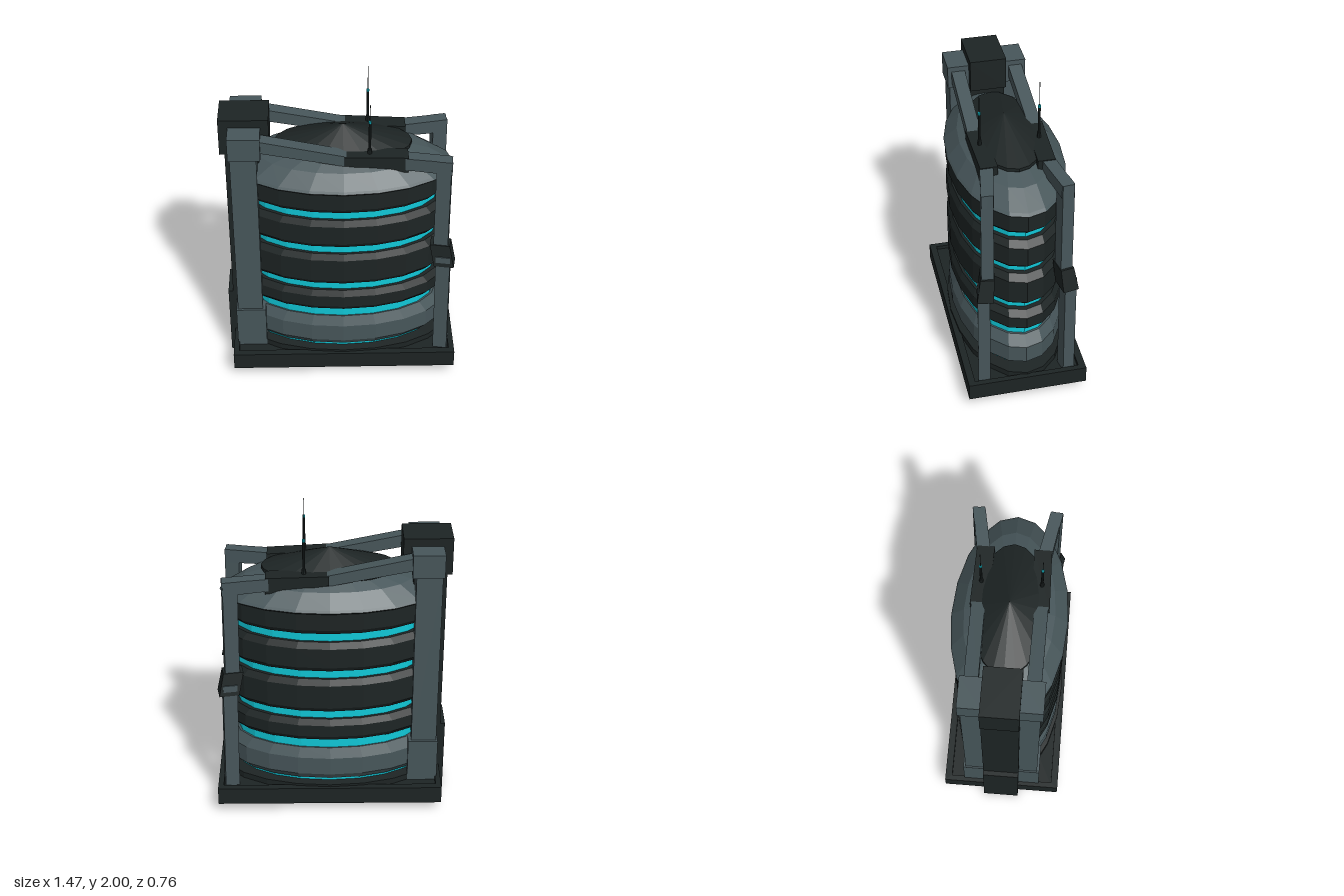
import * as THREE from 'three';
import { ConvexGeometry } from 'three/addons/geometries/ConvexGeometry.js';

const mat = (color) => new THREE.MeshStandardMaterial({ color, flatShading: true });

export function createModel() {
  const root = new THREE.Group();
  const dark = mat(0x1d2424), grey = mat(0x47565a), cyan = mat(0x10c8d8);

  const add = (name, geo, material, parent = root) => {
    const m = new THREE.Mesh(geo, material);
    m.name = name;
    parent.add(m);
    return m;
  };
  // box from its limits
  const box = (name, x0, x1, y0, y1, z0, z1, material, parent) => {
    const g = new THREE.BoxGeometry(x1 - x0, y1 - y0, Math.abs(z1 - z0));
    g.translate((x0 + x1) / 2, (y0 + y1) / 2, (z0 + z1) / 2);
    return add(name, g, material, parent);
  };
  // beam along x between two end rectangles [x, y0, y1, z0, z1]
  const beam = (name, a, b, s, material, parent) => {
    const p = [];
    for (const [x, y0, y1, z0, z1] of [a, b])
      for (const y of [y0, y1]) for (const z of [z0, z1]) p.push(new THREE.Vector3(x, y, z * s));
    return add(name, new ConvexGeometry(p), material, parent);
  };
  // post between two level squares [y, cx, cz, width, depth], turned outward a little
  const post = (name, a, b, s, material, parent) => {
    const yaw = 0.18, c = Math.cos(yaw), n = Math.sin(yaw), p = [];
    for (const [y, cx, cz, w, d] of [a, b])
      for (const i of [-0.5, 0.5]) for (const j of [-0.5, 0.5])
        p.push(new THREE.Vector3(cx + i * w * c - j * d * n, y, (cz + i * w * n + j * d * c) * s));
    return add(name, new ConvexGeometry(p), material, parent);
  };
  // elliptical ring of the tank from [z radius, y] points
  const tank = new THREE.Group();
  tank.name = 'tank';
  root.add(tank);
  const ring = (name, pts, material) => {
    const g = new THREE.LatheGeometry(pts.map(([r, y]) => new THREE.Vector2(r, y)), 20);
    g.scale(1.92, 1, 1);
    g.translate(0.01, 0, 0);
    return add(name, g, material, tank);
  };

  // base tray with a shallow recess
  const frame = new THREE.Shape();
  frame.moveTo(-0.705, -0.38).lineTo(0.73, -0.38).lineTo(0.73, 0.38).lineTo(-0.705, 0.38).closePath();
  const hole = new THREE.Path();
  hole.moveTo(-0.67, -0.335).lineTo(-0.67, 0.335).lineTo(0.695, 0.335).lineTo(0.695, -0.335).closePath();
  frame.holes.push(hole);
  const frameGeo = new THREE.ExtrudeGeometry(frame, { depth: 0.115, bevelEnabled: false });
  frameGeo.rotateX(-Math.PI / 2);
  frameGeo.translate(0, 0.065, 0);
  add('baseFrame', frameGeo, dark);
  box('baseFloor', -0.68, 0.7, 0.04, 0.155, -0.335, 0.335, dark);

  // glowing core, foot and armour bands
  ring('core', [[0.31, 0.15], [0.31, 1.4]], cyan);
  ring('footRing', [[0.31, 0.15], [0.362, 0.15], [0.362, 0.195], [0.305, 0.2]], dark);
  ring('lowerShell', [[0.305, 0.22], [0.32, 0.22], [0.347, 0.265], [0.347, 0.385], [0.318, 0.45], [0.305, 0.45]], grey);
  for (const [y0, y1] of [[0.52, 0.67], [0.73, 0.96], [1.02, 1.22], [1.28, 1.43]]) {
    const top = y1 > 1.4;
    ring('band', [[0.305, y0], [0.33, y0], [0.347, y0 + 0.03], [0.347, y1 - (top ? 0.01 : 0.04)],
      [top ? 0.355 : 0.327, y1], [0.305, y1]], dark);
  }
  ring('dome', [[0.335, 1.425], [0.355, 1.43], [0.345, 1.445], [0.275, 1.53], [0.17, 1.585]], grey);
  ring('domeCap', [[0.222, 1.57], [0.222, 1.592], [0, 1.71]].map(([r, y]) => [r * 0.99, y]), dark);

  // spine at the end of the tank
  box('spineFoot', -0.735, -0.44, 0, 0.5, -0.115, 0.115, dark);
  box('spine', -0.705, -0.5, 0.4, 1.65, -0.115, 0.115, dark);
  beam('spineHead', [-0.737, 1.57, 1.81, -0.115, 0.115], [-0.435, 1.6, 1.81, -0.115, 0.115], 1, dark);

  for (const s of [1, -1]) {
    const side = new THREE.Group();
    side.name = s > 0 ? 'frontFrame' : 'backFrame';
    root.add(side);

    // rear column with foot and cap
    box('columnFoot', -0.68, -0.49, 0.155, 0.45, 0.11 * s, 0.25 * s, grey, side);
    box('column', -0.67, -0.51, 0.4, 1.65, 0.11 * s, 0.235 * s, grey, side);
    box('columnCap', -0.68, -0.485, 1.61, 1.76, 0.11 * s, 0.25 * s, grey, side);

    // roof rail
    beam('roofBeam', [-0.5, 1.65, 1.73, 0.14, 0.225], [0.05, 1.545, 1.615, 0.147, 0.23], s, grey, side);
    beam('roofBlock', [0.015, 1.56, 1.62, 0.13, 0.238], [0.4, 1.5, 1.605, 0.12, 0.227], s, dark, side);
    beam('roofArm', [0.38, 1.52, 1.6, 0.145, 0.228], [0.66, 1.51, 1.6, 0.2, 0.275], s, grey, side);

    // outer post, clamp and lower post
    post('upperPost', [0.93, 0.62, 0.235, 0.09, 0.075], [1.6, 0.615, 0.233, 0.09, 0.075], s, grey, side);
    post('clamp', [0.83, 0.645, 0.255, 0.125, 0.1], [0.98, 0.615, 0.235, 0.125, 0.085], s, dark, side);
    post('lowerPost', [0.155, 0.645, 0.265, 0.09, 0.075], [0.9, 0.635, 0.262, 0.09, 0.075], s, grey, side);

    // antenna
    const tip = s > 0 ? 1.95 : 2;
    const rod = (name, r, y0, y1, material) => {
      const g = new THREE.CylinderGeometry(r, r, y1 - y0, 8);
      g.translate(0.167, (y0 + y1) / 2, 0.182 * s);
      add(name, g, material, side);
    };
    rod('antennaSocket', 0.013, 1.58, 1.645, dark);
    rod('antennaRod', 0.008, 1.6, 1.825, dark);
    rod('antennaLight', 0.009, 1.825, 1.84, cyan);
    rod('antennaWhip', 0.002, 1.84, tip, dark);
  }
  return root;
}
